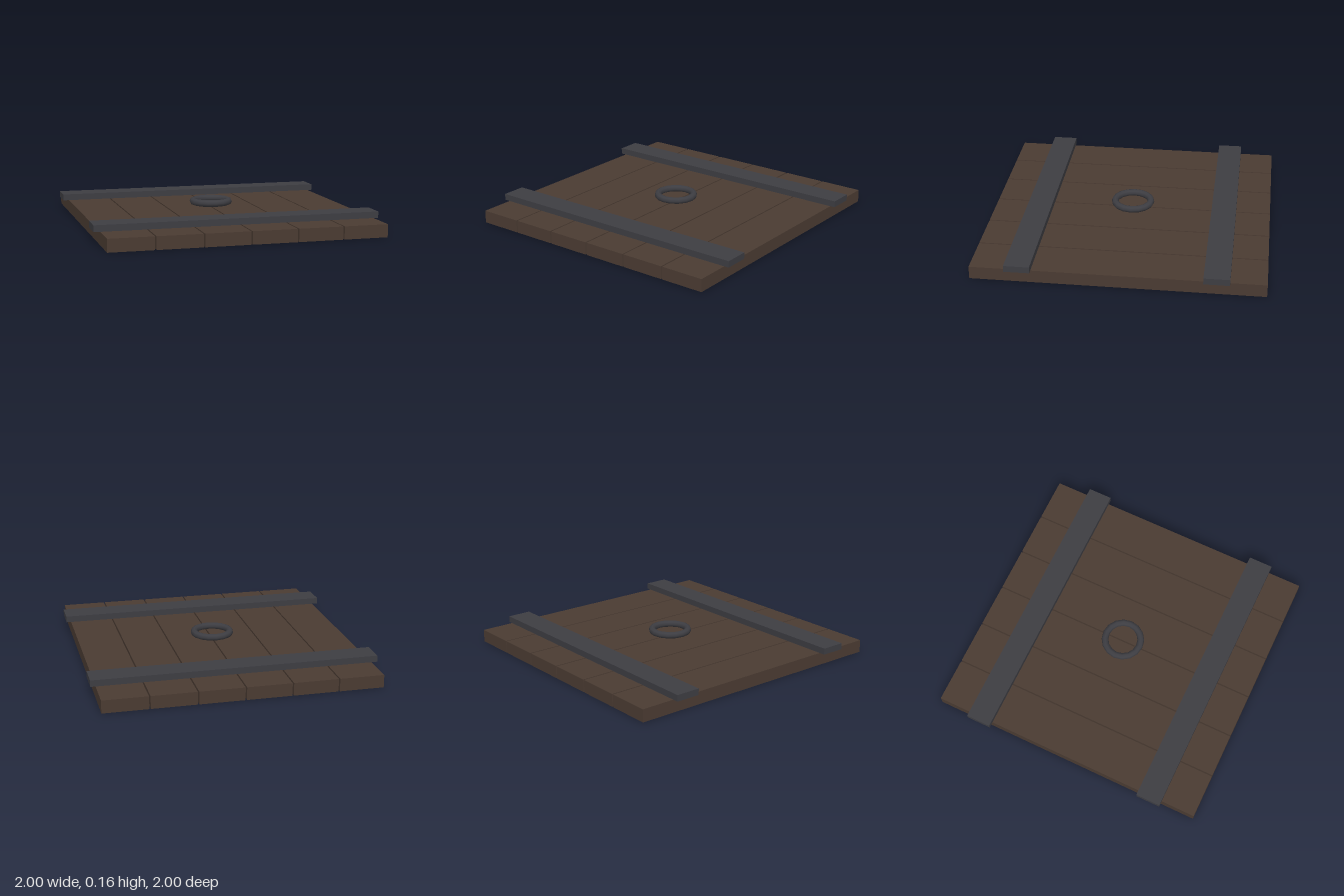
import * as THREE from 'three';

export function createModel() {
  const model = new THREE.Group();
  model.name = 'trapdoor';
  const wood = new THREE.MeshStandardMaterial({ color: 0x4a3b32 });
  const iron = new THREE.MeshStandardMaterial({ color: 0x3d3d42 });

  function add(name, geometry, material, x, y, z) {
    const mesh = new THREE.Mesh(geometry, material);
    mesh.name = name;
    mesh.position.set(x, y, z);
    model.add(mesh);
    return mesh;
  }

  // Six planks side by side with narrow gaps
  const count = 6, pitch = 0.322, thickness = 0.09;
  const plank = new THREE.BoxGeometry(0.312, thickness, 2);
  for (let i = 0; i < count; i++) {
    const x = 0.004 + (i - (count - 1) / 2) * pitch;
    add(`plank${i + 1}`, plank, wood, x, thickness / 2, 0);
  }

  // Two iron bands across the planks
  const band = new THREE.BoxGeometry(2, 0.045, 0.176);
  add('frontBand', band, iron, 0, thickness + 0.0225, 0.667);
  add('backBand', band, iron, 0, thickness + 0.0225, -0.667);

  // Pull ring lying flat above the middle
  const ring = new THREE.TorusGeometry(0.131, 0.025, 8, 16).rotateX(-Math.PI / 2);
  add('pullRing', ring, iron, 0, 0.135, 0);

  return model;
}
